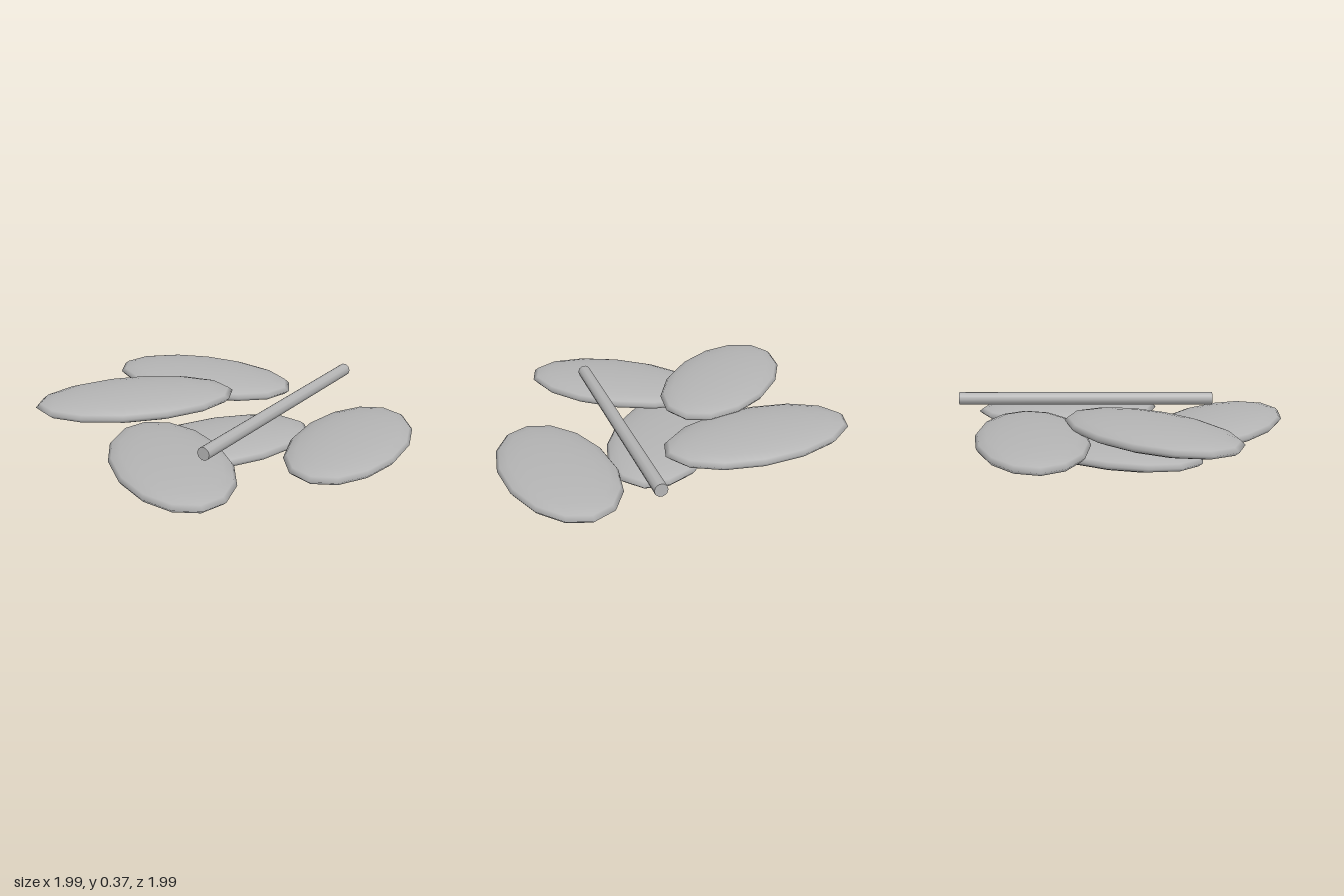
import * as THREE from 'three';

export function createModel() {
  const group = new THREE.Group();
  group.name = 'stonesAndRod';
  const grey = new THREE.MeshStandardMaterial({ color: 0xb4b4b4 });
  grey.name = 'grey';

  // Flat oval stones stacked in a spiral: x, y, z, heading in degrees (from +x towards +z)
  const stones = [
    [-0.07, 0.068, 0.06, 0],
    [0.495, 0.128, 0.53, -34.5],
    [-0.548, 0.187, 0.435, 99.5],
    [0.118, 0.244, -0.51, 53.8],
    [-0.452, 0.3, -0.23, 13.4],
  ];
  const stoneGeometry = new THREE.SphereGeometry(1, 14, 10).scale(0.564, 0.068, 0.31);
  stones.forEach(([x, y, z, heading], i) => {
    const stone = new THREE.Mesh(stoneGeometry, grey);
    stone.name = `flatStone${i + 1}`;
    stone.position.set(x, y, z);
    stone.rotation.y = -THREE.MathUtils.degToRad(heading);
    group.add(stone);
  });

  // Straight rod lying level across the stones
  const start = new THREE.Vector3(-0.45, 0.293, 0.615);
  const end = new THREE.Vector3(0.877, 0.293, -0.11);
  const along = end.clone().sub(start);
  const rod = new THREE.Mesh(
    new THREE.CylinderGeometry(0.037, 0.037, along.length(), 10).rotateZ(-Math.PI / 2),
    grey,
  );
  rod.name = 'rod';
  rod.position.copy(start).add(end).multiplyScalar(0.5);
  rod.rotation.y = Math.atan2(-along.z, along.x);
  group.add(rod);

  return group;
}
